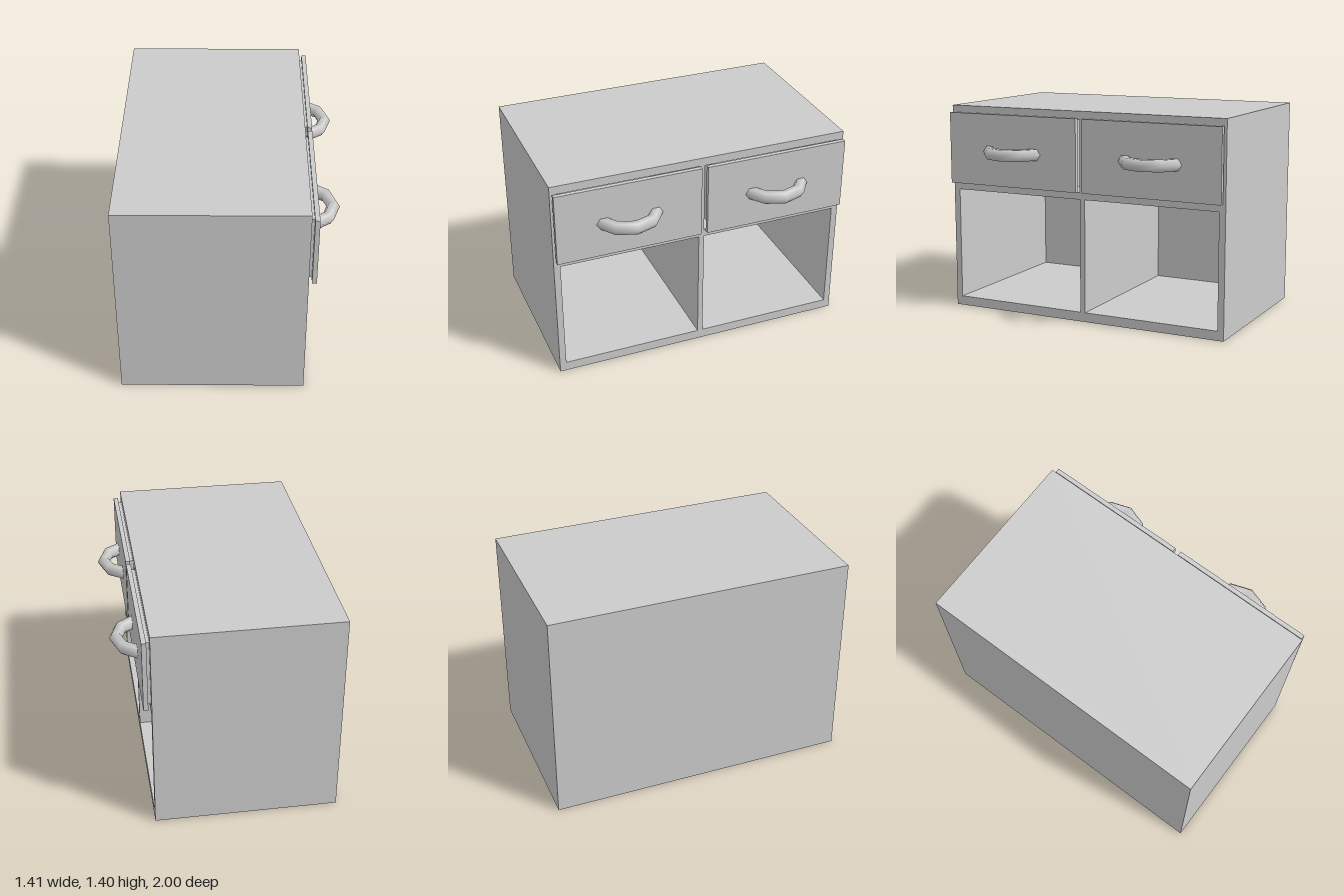
import * as THREE from 'three';

const material = new THREE.MeshStandardMaterial({ color: 0xcccccc });

function addMesh(parent, name, geometry) {
  const mesh = new THREE.Mesh(geometry, material);
  mesh.name = name;
  parent.add(mesh);
  return mesh;
}

// Box given by its lower and upper limits on each axis
function addBox(parent, name, [x0, x1], [y0, y1], [z0, z1]) {
  const mesh = addMesh(parent, name, new THREE.BoxGeometry(x1 - x0, y1 - y0, z1 - z0));
  mesh.position.set((x0 + x1) / 2, (y0 + y1) / 2, (z0 + z1) / 2);
  return mesh;
}

// Closed rectangle, used for the outline and for the openings
function rectangle(path, u0, u1, v0, v1) {
  path.moveTo(u0, v0);
  path.lineTo(u1, v0);
  path.lineTo(u1, v1);
  path.lineTo(u0, v1);
  path.closePath();
  return path;
}

const BACK = -0.705, FRONT = 0.49, BACK_THICKNESS = 0.04;

// Carcass: one frame with two drawer bays above two open compartments
function createCarcass() {
  const carcass = new THREE.Group();
  carcass.name = 'carcass';
  const outline = rectangle(new THREE.Shape(), -1, 1, 0, 1.4);
  for (const [v0, v1] of [[0.063, 0.822], [0.868, 1.345]]) {
    for (const [u0, u1] of [[-0.957, -0.018], [0.018, 0.957]]) {
      outline.holes.push(rectangle(new THREE.Path(), u0, u1, v0, v1));
    }
  }
  const frame = new THREE.ExtrudeGeometry(outline, {
    depth: FRONT - BACK - BACK_THICKNESS, bevelEnabled: false,
  });
  frame.rotateY(Math.PI / 2);
  addMesh(carcass, 'frame', frame).position.x = BACK + BACK_THICKNESS;
  addBox(carcass, 'backPanel', [BACK, BACK + BACK_THICKNESS], [0, 1.4], [-1, 1]);
  return carcass;
}

// Drawer: open tray, overlapping front panel and faceted bow handle
function createDrawer(name, centreZ) {
  const drawer = new THREE.Group();
  drawer.name = name;
  const x = [-0.62, 0.51], y = [0.893, 1.337], half = 0.445, t = 0.03;
  addBox(drawer, 'trayBottom', x, [y[0], y[0] + t], [-half, half]);
  for (const side of [-1, 1]) {
    const mid = side * (half - t / 2);
    addBox(drawer, 'traySide', x, [y[0] + t, y[1]], [mid - t / 2, mid + t / 2]);
  }
  for (const x0 of [x[0], x[1] - t]) {
    addBox(drawer, 'trayEnd', [x0, x0 + t], [y[0] + t, y[1]], [t - half, half - t]);
  }
  addBox(drawer, 'drawerFront', [0.51, 0.54], [0.873, 1.355], [-0.484, 0.484]);

  // The ends of the arc are buried in the front panel
  const arc = Math.PI * 0.8;
  const bow = new THREE.TorusGeometry(0.203, 0.043, 6, 4, arc);
  bow.rotateZ(-arc / 2);
  bow.rotateX(Math.PI / 2);
  bow.scale(1, 1, 0.97);
  addMesh(drawer, 'handle', bow).position.set(0.455, 1.103, 0);

  drawer.position.z = centreZ;
  return drawer;
}

export function createModel() {
  const model = new THREE.Group();
  model.name = 'cabinet';
  model.add(
    createCarcass(),
    createDrawer('drawerLeft', 0.505),
    createDrawer('drawerRight', -0.505),
  );
  return model;
}
